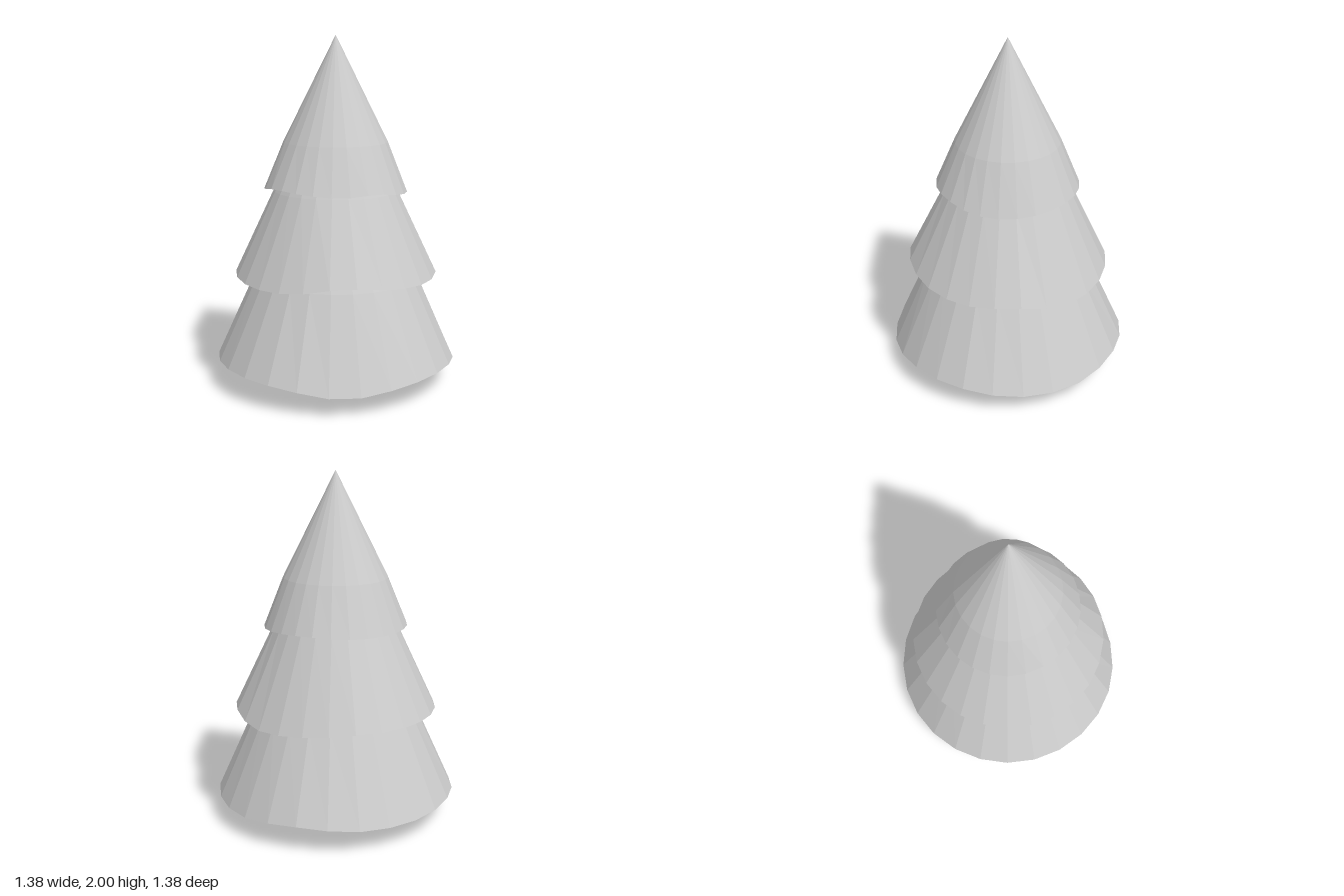
import * as THREE from 'three';

const SIDES = 25;

// Smooth closed interpolation of hem heights given every 30 degrees from +z towards +x
function hemHeight(heights, angle) {
  const n = heights.length;
  const t = ((angle / (2 * Math.PI)) * n + n) % n;
  const i = Math.floor(t), f = t - i;
  const [a, b, c, d] = [-1, 0, 1, 2].map((k) => heights[(i + k + n) % n]);
  return b + 0.5 * f * (c - a + f * (2 * a - 5 * b + 4 * c - d + f * (3 * (b - c) + d - a)));
}

// Cone tier with a closed underside and a wavy hem
function tier(name, radius, heights, upperProfile, material) {
  const base = heights.reduce((s, h) => s + h, 0) / heights.length;
  const profile = [[0, base], [radius, base], ...upperProfile].map(([r, y]) => new THREE.Vector2(r, y));
  const geometry = new THREE.LatheGeometry(profile, SIDES, Math.PI);
  const p = geometry.attributes.position;
  for (let i = 0; i < p.count; i++) {
    if (i % profile.length === 1) p.setY(i, hemHeight(heights, Math.atan2(p.getX(i), p.getZ(i))));
  }
  geometry.computeVertexNormals();
  const mesh = new THREE.Mesh(geometry, material);
  mesh.name = name;
  return mesh;
}

export function createModel() {
  const group = new THREE.Group();
  group.name = 'pineTree';
  const material = new THREE.MeshStandardMaterial({ color: 0xcccccc, flatShading: true });

  // Trunk
  const trunk = new THREE.Mesh(new THREE.CylinderGeometry(0.115, 0.115, 0.3, SIDES), material);
  trunk.position.y = 0.15;
  trunk.name = 'trunk';
  group.add(trunk);

  // Foliage tiers from bottom to top
  group.add(
    tier('lowerFoliage', 0.693,
      [0.106, 0.14, 0.15, 0.127, 0.122, 0.15, 0.132, 0.135, 0.148, 0.142, 0.15, 0.143],
      [[0.475, 0.62], [0, 1.5]], material),
    tier('middleFoliage', 0.583,
      [0.678, 0.652, 0.638, 0.65, 0.608, 0.62, 0.64, 0.64, 0.64, 0.64, 0.63, 0.635],
      [[0.358, 1.12], [0, 1.8]], material),
    tier('upperFoliage', 0.412,
      [1.137, 1.147, 1.12, 1.115, 1.128, 1.135, 1.125, 1.122, 1.125, 1.13, 1.158, 1.15],
      [[0.3, 1.4], [0.2, 1.6], [0, 2]], material),
  );
  return group;
}
